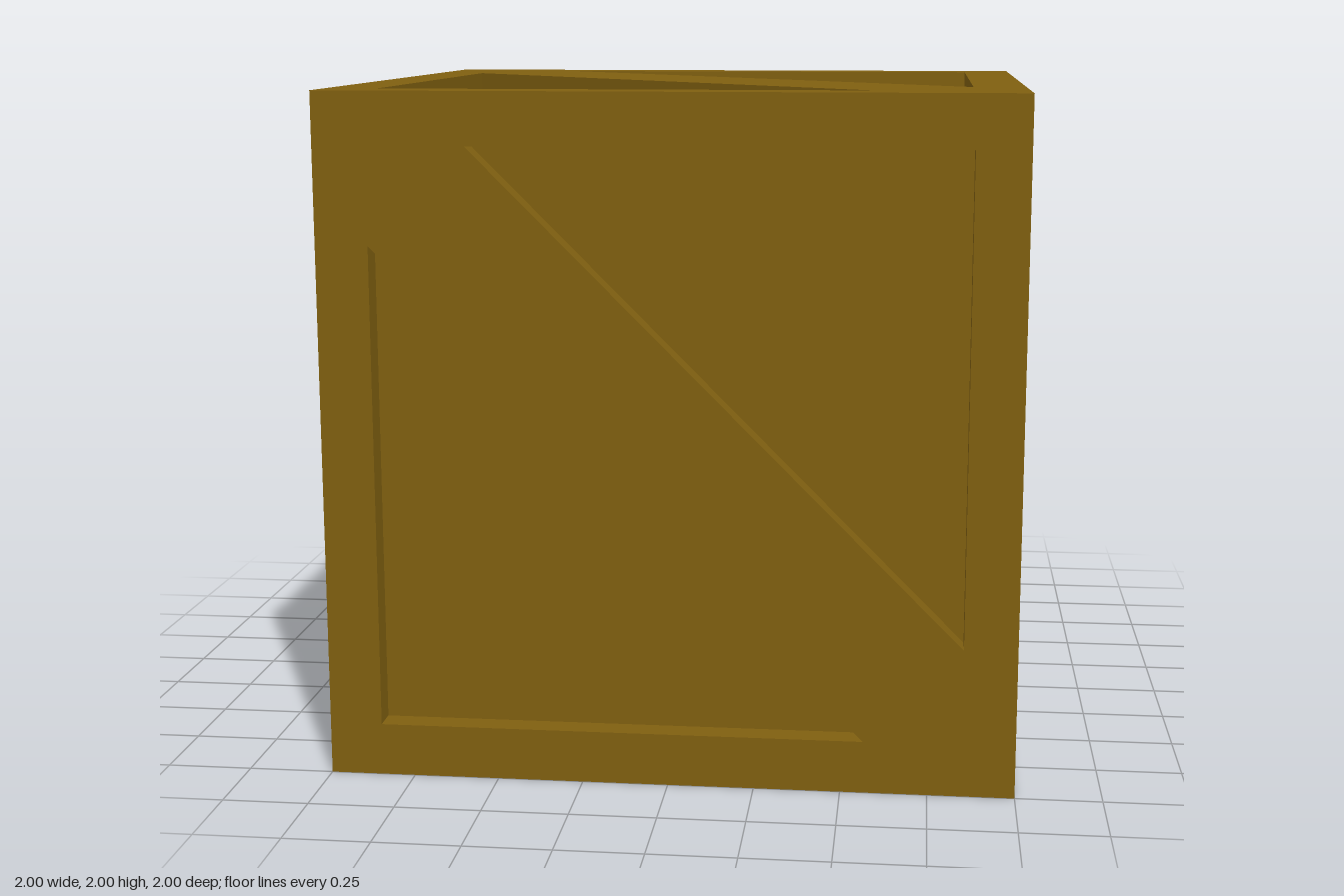
import * as THREE from 'three';

const DEPTH = 0.077; // how far the panels sit behind the frame
const INNER = 0.847; // inner edge of the border
const TIP = 0.565;   // where the diagonal brace meets the border

// Square frame with two triangular openings, leaving a diagonal brace
function frameGeometry() {
  const shape = new THREE.Shape([[-1, -1], [1, -1], [1, 1], [-1, 1]].map(([x, y]) => new THREE.Vector2(x, y)));
  for (const s of [1, -1]) {
    const corners = [[INNER, INNER], [INNER, -TIP], [-TIP, INNER]];
    shape.holes.push(new THREE.Path(corners.map(([x, y]) => new THREE.Vector2(s * x, s * y))));
  }
  const geometry = new THREE.ExtrudeGeometry(shape, { depth: DEPTH, bevelEnabled: false });
  geometry.translate(0, 0, 1 - DEPTH);

  // Mitre the outer edges so neighbouring frames meet cleanly
  const p = geometry.attributes.position;
  for (let i = 0; i < p.count; i++) {
    if (p.getZ(i) > 1 - DEPTH / 2) continue;
    const limit = 1 - DEPTH;
    p.setX(i, THREE.MathUtils.clamp(p.getX(i), -limit, limit));
    p.setY(i, THREE.MathUtils.clamp(p.getY(i), -limit, limit));
  }
  geometry.computeVertexNormals();
  return geometry;
}

export function createModel() {
  const crate = new THREE.Group();
  crate.name = 'crate';
  const wood = new THREE.MeshStandardMaterial({ color: 0x7f5f10 });
  wood.name = 'brown wood';

  // Recessed panels: one inner box
  const size = 2 - 2 * DEPTH;
  const core = new THREE.Mesh(new THREE.BoxGeometry(size, size, size), wood);
  core.name = 'recessedPanels';
  core.position.y = 1;
  crate.add(core);

  // One braced frame per side: name, rotation about x, y, z
  const geometry = frameGeometry();
  const quarter = Math.PI / 2;
  const sides = [
    ['frontFrame', 0, 0, 0],
    ['leftFrame', 0, 1, 0],
    ['backFrame', 0, 2, 0],
    ['rightFrame', 0, -1, 0],
    ['topFrame', -1, 0, 0],
    ['bottomFrame', 1, 0, 1],
  ];
  for (const [name, x, y, z] of sides) {
    const frame = new THREE.Mesh(geometry, wood);
    frame.name = name;
    frame.rotation.set(x * quarter, y * quarter, z * quarter);
    frame.position.y = 1;
    crate.add(frame);
  }
  return crate;
}
